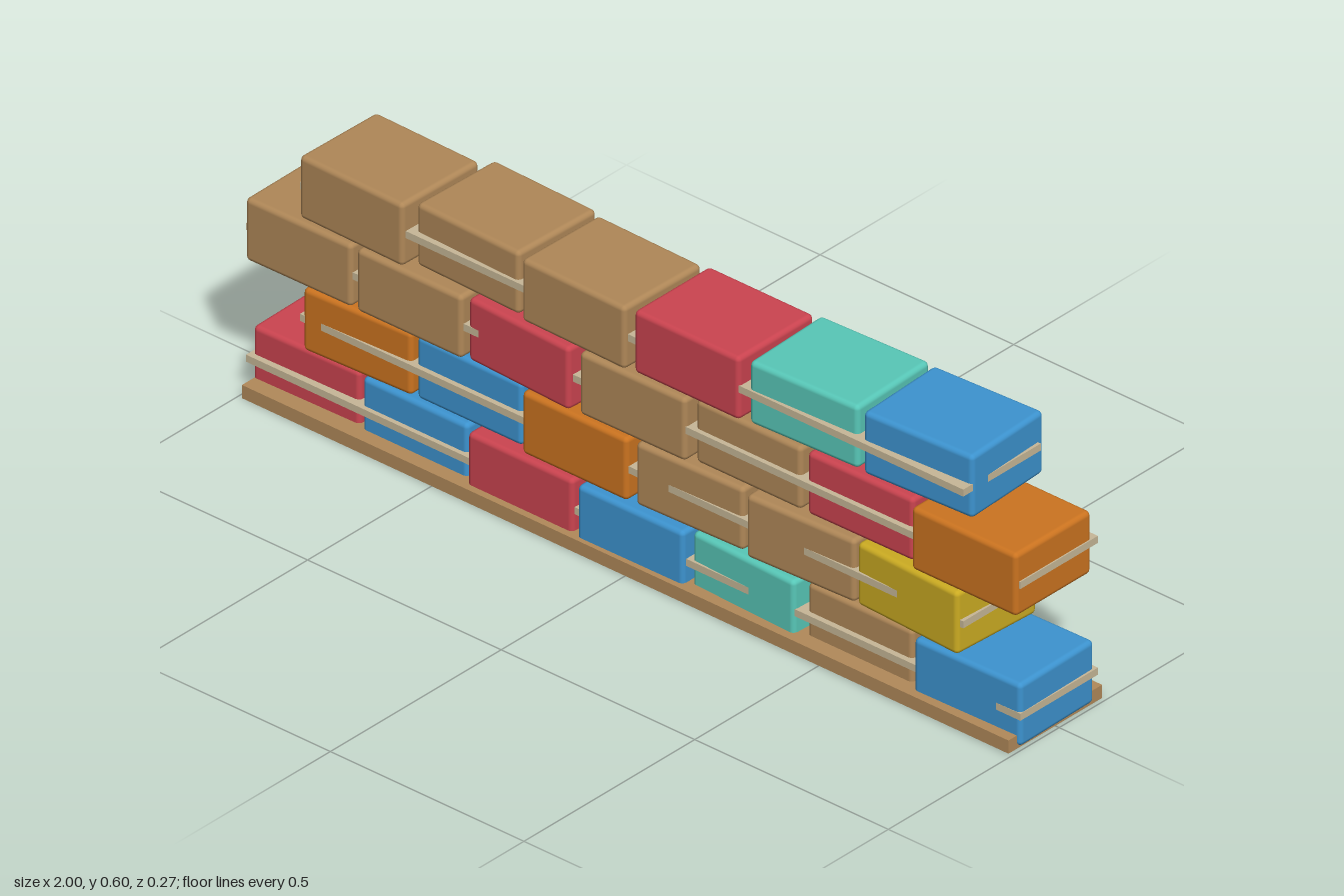
import * as THREE from 'three';
import { RoundedBoxGeometry } from 'three/addons/geometries/RoundedBoxGeometry.js';

const makeMaterial = (name, color) => {
  const m = new THREE.MeshStandardMaterial({ color });
  m.name = name;
  return m;
};

const PITCH = 0.287, ROW_HEIGHT = 0.15;

// Each crate: [colour, z shift, turn about y], listed from -x to +x
const ROWS = [
  [['red', -0.013, 0.02], ['blue', -0.008, 0], ['red', 0.01, 0], ['blue', 0.014, 0.01],
    ['teal', 0.002, -0.04], ['cardboard', -0.01, 0], ['blue', 0.004, 0.02]],
  [['orange', -0.001, 0.04], ['blue', -0.009, 0], ['orange', 0.009, 0], ['cardboard', 0.001, 0.03],
    ['cardboard', 0.003, 0.04], ['yellow', 0.004, -0.05]],
  [['cardboard', 0.01, 0.01], ['cardboard', 0.01, 0], ['red', 0.008, -0.05], ['cardboard', 0.008, 0.01],
    ['cardboard', -0.008, 0], ['red', -0.009, 0.01], ['orange', 0.012, 0]],
  [['cardboard', 0.01, -0.02], ['cardboard', -0.008, -0.03], ['cardboard', 0.01, -0.02], ['red', 0.006, 0],
    ['teal', -0.007, 0.04], ['blue', -0.015, 0.05]],
];

export function createModel() {
  const materials = {
    red: makeMaterial('red', 0xcc4450),
    blue: makeMaterial('blue', 0x3d94d0),
    teal: makeMaterial('teal', 0x58c8b8),
    orange: makeMaterial('orange', 0xcc7420),
    yellow: makeMaterial('yellow', 0xccac22),
    cardboard: makeMaterial('cardboard', 0xb08858),
    strap: makeMaterial('strap', 0xc8b898),
    timber: makeMaterial('timber', 0xb28a5a),
  };
  const model = new THREE.Group();
  model.name = 'crateWall';

  // Timber base board
  const base = new THREE.Mesh(new THREE.BoxGeometry(1.98, 0.03, 0.274), materials.timber);
  base.name = 'baseBoard';
  base.position.y = 0.015;
  model.add(base);

  // Staggered rows of slightly turned crates
  const crateGeometry = new RoundedBoxGeometry(0.272, 0.143, 0.222, 2, 0.011);
  ROWS.forEach((crates, r) => {
    const row = new THREE.Group();
    row.name = `crateRow${r + 1}`;
    row.position.set(r % 2 ? -0.004 : 0, 0.076 + r * ROW_HEIGHT, 0);
    const half = (crates.length - 1) / 2;
    crates.forEach(([colour, z, turn], i) => {
      const crate = new THREE.Mesh(crateGeometry, materials[colour]);
      crate.name = `crate${i + 1}`;
      crate.position.set((i - half) * PITCH, 0, z);
      crate.rotation.y = turn;
      row.add(crate);
    });

    // Strap around the row, showing where crates sit back
    const strap = new THREE.Mesh(
      new THREE.BoxGeometry(2 * (half * PITCH + 0.139), 0.016, 0.227), materials.strap);
    strap.name = 'strap';
    row.add(strap);
    model.add(row);
  });
  return model;
}
